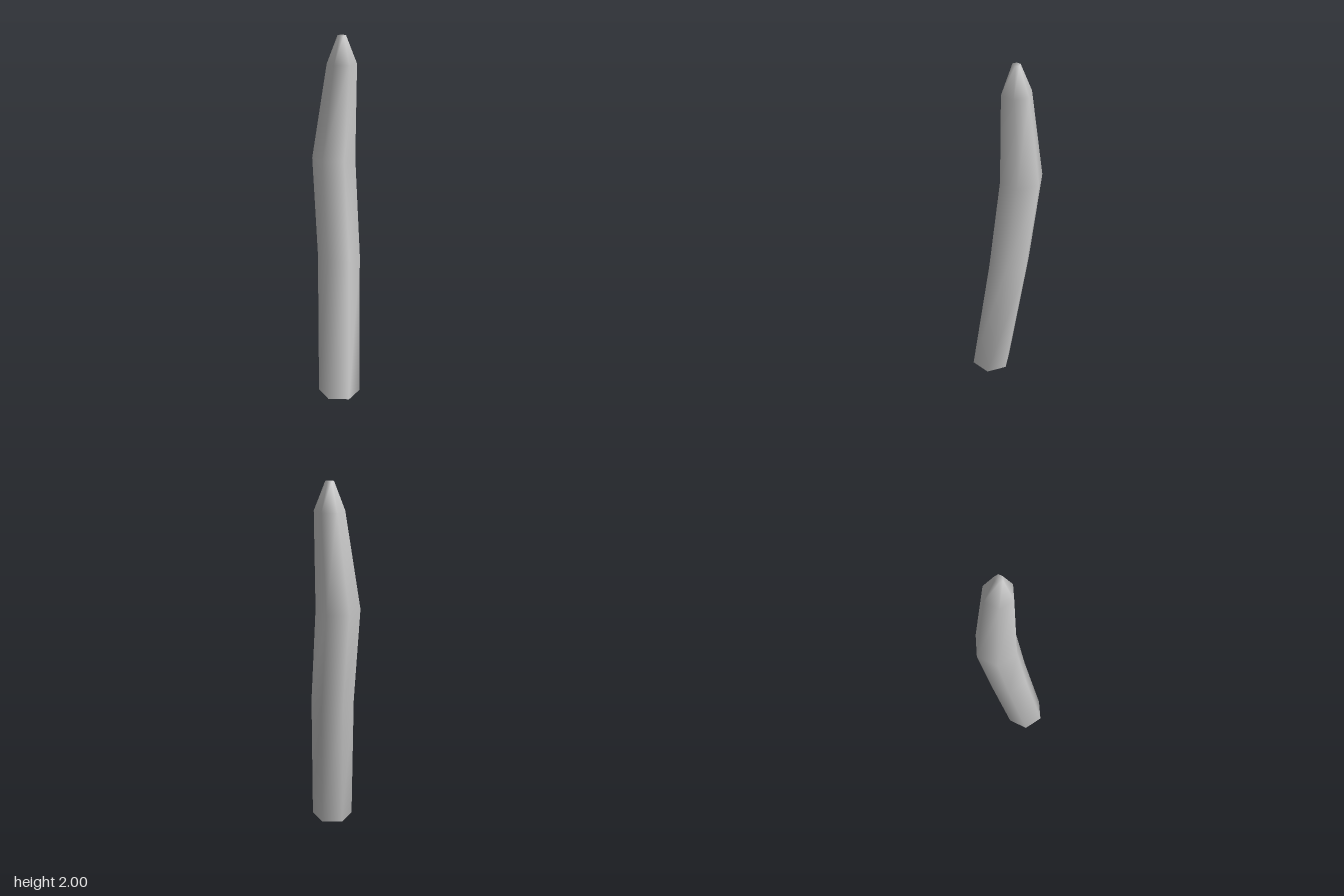
import * as THREE from 'three';

const SIDES = 6;
const TWIST = THREE.MathUtils.degToRad(2.5);

// Cross-sections from base to tip: height, centre x, centre z, radius
const RINGS = [
  [0, 0.0125, 0.083, 0.1175],
  [0.8, 0.0125, -0.027, 0.1175],
  [1.345, -0.0145, -0.085, 0.1175],
  [1.855, 0.028, -0.061, 0.079],
  [2, 0.027, -0.058, 0.022],
];

// Skins the hexagonal rings with shared vertices, so the shading stays smooth
function loft(rings) {
  const positions = [];
  const index = [];
  for (const [y, cx, cz, r] of rings) {
    for (let i = 0; i < SIDES; i++) {
      const a = TWIST + (i / SIDES) * Math.PI * 2;
      positions.push(cx + r * Math.cos(a), y, cz + r * Math.sin(a));
    }
  }
  // Walls
  for (let k = 0; k < rings.length - 1; k++) {
    for (let i = 0; i < SIDES; i++) {
      const a = k * SIDES + i;
      const b = k * SIDES + ((i + 1) % SIDES);
      index.push(a, a + SIDES, b, b, a + SIDES, b + SIDES);
    }
  }
  // Base and tip caps
  const top = (rings.length - 1) * SIDES;
  for (let i = 1; i < SIDES - 1; i++) {
    index.push(0, i, i + 1);
    index.push(top, top + i + 1, top + i);
  }
  const geometry = new THREE.BufferGeometry();
  geometry.setAttribute('position', new THREE.Float32BufferAttribute(positions, 3));
  geometry.setIndex(index);
  geometry.computeVertexNormals();
  return geometry;
}

export function createModel() {
  const group = new THREE.Group();
  group.name = 'bentStake';
  const stake = new THREE.Mesh(loft(RINGS), new THREE.MeshStandardMaterial({ color: 0xcccccc }));
  stake.name = 'stake';
  group.add(stake);
  return group;
}
